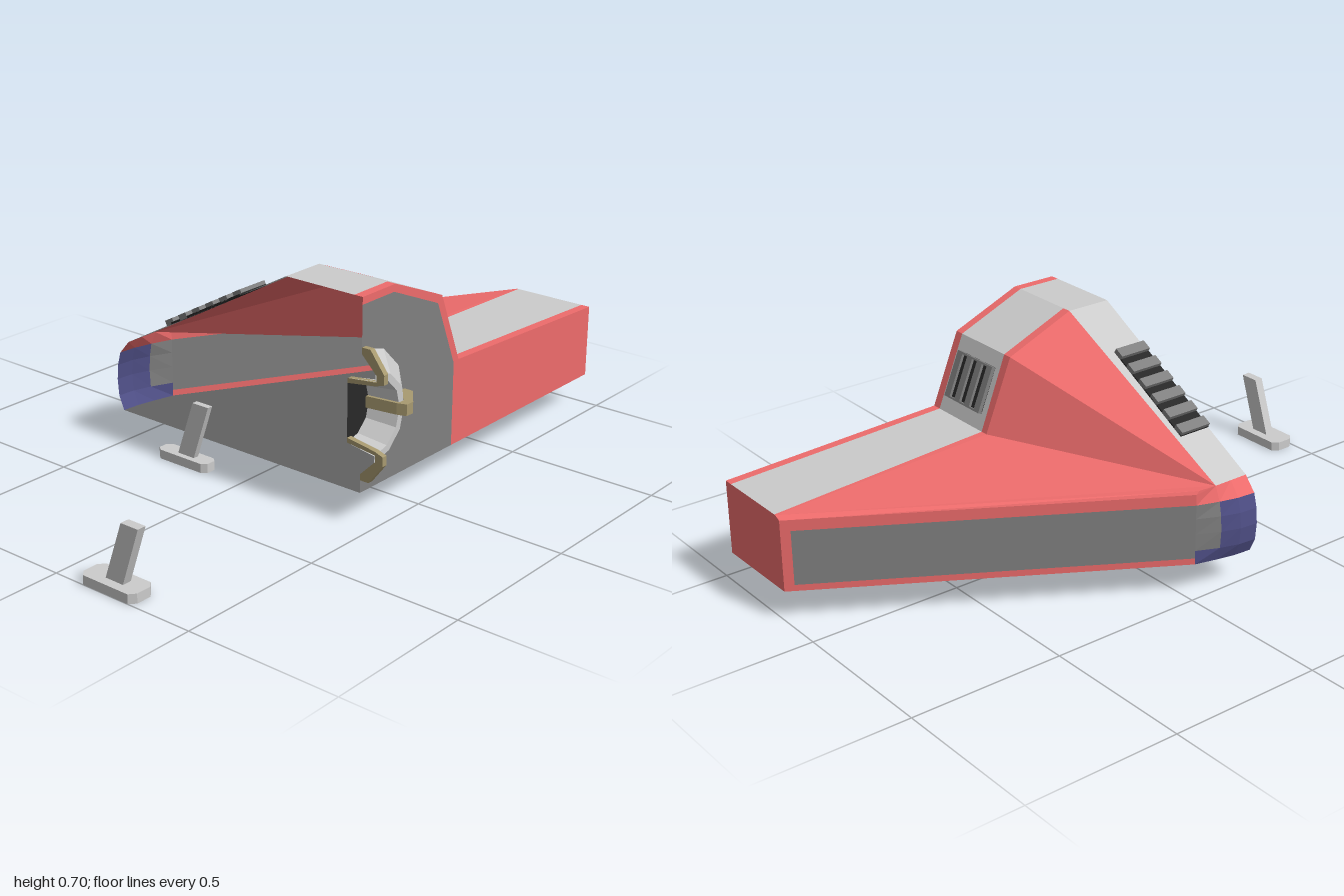
import * as THREE from 'three';

const RED = 0xee6c6c, GREY = 0xcccccc, MID = 0x808080, DARK = 0x626262, BLACK = 0x282828, BLUE = 0x505088, GOLD = 0xa89a70;

const material = (color) => new THREE.MeshStandardMaterial({ color, flatShading: true, side: THREE.DoubleSide });

function addMesh(parent, name, geometry, color) {
  const mesh = new THREE.Mesh(geometry, material(color));
  mesh.name = name;
  parent.add(mesh);
  return mesh;
}

// Thin shell made of convex polygons, each turned to face away from the hull centre
function addPanels(parent, name, color, polygons) {
  const centre = new THREE.Vector3(0.1, 0.25, 0.0);
  const out = [];
  for (const polygon of polygons) {
    const p = polygon.map((c) => new THREE.Vector3(...c));
    for (let i = 1; i < p.length - 1; i++) {
      const tri = new THREE.Triangle(p[0], p[i], p[i + 1]);
      if (tri.getArea() < 1e-7) continue;
      const outward = tri.getMidpoint(new THREE.Vector3()).sub(centre);
      const flip = tri.getNormal(new THREE.Vector3()).dot(outward) < 0;
      for (const v of flip ? [tri.a, tri.c, tri.b] : [tri.a, tri.b, tri.c]) out.push(v.x, v.y, v.z);
    }
  }
  const geometry = new THREE.BufferGeometry();
  geometry.setAttribute('position', new THREE.Float32BufferAttribute(out, 3));
  geometry.computeVertexNormals();
  return addMesh(parent, name, geometry, color);
}

const shapeOf = (points) => new THREE.Shape(points.map(([x, y]) => new THREE.Vector2(x, y)));

function buildHull(parent) {
  const apex = [-0.48, 0.34, 0.1], shoulder = [-0.475, 0.34, 0.04], corner = [-0.475, 0.33, 0.03];
  const wingTip = [0.145, 0.33, -1];

  // Cabin and wing top: rows of [left, stripe left, y, z] from the centre line to the wing tip
  const rows = [
    [0.17, 0.2, 0.7, 0.07], [0.17, 0.2, 0.605, -0.16],
    [0.17, 0.195, 0.375, -0.255], [0.165, 0.17, 0.34, -1],
  ];
  const stripe = [], trim = [];
  for (let i = 0; i < 3; i++) {
    const [l0, s0, y0, z0] = rows[i], [l1, s1, y1, z1] = rows[i + 1];
    const strip = (a0, b0, a1, b1) => [[a0, y0, z0], [b0, y0, z0], [b1, y1, z1], [a1, y1, z1]];
    trim.push(strip(l0, s0, l1, s1), strip(0.42, 0.45, 0.42, 0.45));
    stripe.push(strip(s0, 0.42, s1, 0.42));
  }
  stripe.push([[0.17, 0.7, 0.22], [0.42, 0.7, 0.22], [0.42, 0.7, 0.07], [0.17, 0.7, 0.07]]);
  trim.push([[0.42, 0.7, 0.22], [0.45, 0.7, 0.22], [0.45, 0.7, 0.07], [0.42, 0.7, 0.07]]);
  addPanels(parent, 'topStripe', GREY, stripe);
  addPanels(parent, 'topTrim', RED, trim);

  // Sloping spine and the facets that run down to the nose
  const [a, b, c, d] = rows.map(([x, , y, z]) => [x, y, z]);
  addPanels(parent, 'spine', GREY, [[[-0.48, 0.34, 0.22], [0.17, 0.7, 0.22], a, apex]]);
  addPanels(parent, 'slopeFacets', RED, [
    [apex, a, b], [apex, b, c], [apex, c, d], [apex, d, shoulder],
    [shoulder, d, wingTip, corner], [corner, shoulder, apex],
  ]);

  // Diagonal side wall with its long grey panel
  const at = (t, y) => [-0.475 + 0.62 * t, y, 0.03 - 1.03 * t];
  const wall = (t0, t1, y0, y1) => [at(t0, y0), at(t1, y0), at(t1, y1), at(t0, y1)];
  addPanels(parent, 'sideWall', RED, [wall(0, 1, 0.1, 0.12), wall(0, 1, 0.295, 0.33), wall(0.975, 1, 0.12, 0.295)]);
  addPanels(parent, 'sidePanel', MID, [wall(0, 0.975, 0.12, 0.295)]);

  // Wing end and floor
  addPanels(parent, 'wingEnd', RED, [[[0.145, 0.1, -1], wingTip, d, [0.45, 0.34, -1], [0.45, 0.1, -1]]]);
  addPanels(parent, 'floor', DARK, [[
    [0.45, 0.1, 0.22], [-0.51, 0.1, 0.22], [-0.505, 0.1, 0.16], [-0.4925, 0.1, 0.1],
    [-0.475, 0.1, 0.03], [0.145, 0.1, -1], [0.45, 0.1, -1],
  ]]);
}

// Rounded nose: plan columns [x, z, bulge] crossed with levels [y, inset]
function buildNose(parent) {
  const columns = [[-0.475, 0.03, 0], [-0.51, 0.1, 0.7], [-0.53, 0.16, 1], [-0.535, 0.22, 1]];
  const levels = [[0.1, 0.025], [0.145, 0.005], [0.2, 0], [0.25, 0.004], [0.295, 0.016]];
  const rim = [[-0.475, 0.33, 0.03], [-0.48, 0.34, 0.1], [-0.48, 0.34, 0.16], [-0.48, 0.34, 0.22]];
  const point = (i, j) => [columns[i][0] + columns[i][2] * levels[j][1], levels[j][0], columns[i][1]];
  const glass = [], cheek = [], cap = [];
  for (let i = 0; i < 3; i++) {
    for (let j = 0; j < 4; j++) {
      const list = i === 0 && j > 0 ? cheek : glass;
      list.push([point(i, j), point(i + 1, j), point(i + 1, j + 1), point(i, j + 1)]);
    }
    cap.push([point(i, 4), point(i + 1, 4), rim[i + 1], rim[i]]);
  }
  addPanels(parent, 'noseWindow', BLUE, glass);
  addPanels(parent, 'noseCheek', MID, cheek);
  addPanels(parent, 'noseCap', RED, cap);
}

// Flat tail wall at x = 0.45, drawn with u = -z
function buildTail(parent) {
  const inner = [[0.23, 0.1], [0.23, 0.37], [0.14, 0.585], [-0.075, 0.677], [-0.22, 0.677]];
  const plate = shapeOf([[-0.22, 0.1], ...inner, [-0.22, 0.535]]);
  plate.absarc(-0.22, 0.345, 0.19, Math.PI / 2, -Math.PI / 2, true);
  const border = shapeOf([
    [-0.22, 0.7], [-0.07, 0.7], [0.16, 0.605], [0.255, 0.375], [1, 0.34], [1, 0.1], ...inner,
  ]);
  for (const [name, shape, color] of [['tailPlate', plate, MID], ['tailBorder', border, RED]]) {
    const geometry = new THREE.ShapeGeometry(shape, 12).rotateY(Math.PI / 2).translate(0.45, 0, 0);
    addMesh(parent, name, geometry, color);
  }
}

function buildEngine(parent) {
  const engine = new THREE.Group();
  engine.name = 'engine';
  engine.position.set(0, 0.345, 0.22);
  parent.add(engine);
  const halfLathe = (points) => new THREE.LatheGeometry(
    points.map(([x, r]) => new THREE.Vector2(r, x)), 6, Math.PI / 2, Math.PI).rotateZ(-Math.PI / 2);
  addMesh(engine, 'engineCore', halfLathe([[0.4, 0], [0.4, 0.1]]), BLACK);
  addMesh(engine, 'nozzle', halfLathe([[0.4, 0.1], [0.5, 0.115], [0.5, 0.137], [0.45, 0.2]]), GREY);

  // Clamps around the nozzle; the two on the centre line are half width
  const clamp = shapeOf([
    [0.4, 0.085], [0.5, 0.1], [0.53, 0.11], [0.53, 0.14], [0.48, 0.205],
    [0.45, 0.205], [0.45, 0.185], [0.503, 0.132], [0.503, 0.112], [0.4, 0.1],
  ]);
  for (const [angle, z0, depth] of [[0, -0.018, 0.018], [-Math.PI / 2, -0.018, 0.036], [Math.PI, 0, 0.018]]) {
    const geometry = new THREE.ExtrudeGeometry(clamp, { depth, bevelEnabled: false }).translate(0, 0, z0);
    addMesh(engine, 'nozzleClamp', geometry, GOLD).rotation.x = angle;
  }
}

function buildVents(parent) {
  const box = (group, name, size, pos, color) =>
    addMesh(group, name, new THREE.BoxGeometry(...size), color).position.set(...pos);

  // Louvres on the spine
  const spineVent = new THREE.Group();
  spineVent.name = 'spineVent';
  spineVent.position.set(-0.155, 0.52, 0.165);
  spineVent.rotation.z = Math.atan2(0.36, 0.65);
  box(spineVent, 'ventBed', [0.355, 0.006, 0.11], [0, 0.002, 0], BLACK);
  for (let i = 0; i < 6; i++) box(spineVent, 'louvre', [0.034, 0.018, 0.11], [-0.16 + i * 0.064, 0.008, 0], MID);

  // Grille on the cabin side
  const sideVent = new THREE.Group();
  sideVent.name = 'sideVent';
  sideVent.position.set(0.31, 0.49, -0.2075);
  sideVent.rotation.x = Math.atan2(0.095, 0.23);
  box(sideVent, 'grilleBed', [0.18, 0.15, 0.006], [0, 0, -0.002], BLACK);
  for (let i = 0; i < 4; i++) box(sideVent, 'grilleBar', [0.026, 0.15, 0.014], [-0.077 + i * 0.0513, 0, -0.007], MID);
  for (const y of [-0.072, 0.072]) box(sideVent, 'grilleEdge', [0.18, 0.006, 0.014], [0, y, -0.007], MID);
  parent.add(spineVent, sideVent);
}

// Landing leg: chamfered pad with a leaning strut
function buildLeg(parent, x, z, widthScale) {
  const leg = new THREE.Group();
  leg.name = 'landingLeg';
  leg.position.set(x, 0, z);
  leg.scale.z = widthScale;
  const pad = shapeOf([
    [-0.102, -0.025], [-0.085, -0.045], [0.085, -0.045], [0.102, -0.025],
    [0.102, 0.025], [0.085, 0.045], [-0.085, 0.045], [-0.102, 0.025],
  ]);
  const padGeometry = new THREE.ExtrudeGeometry(pad, { depth: 0.03, bevelEnabled: false }).rotateX(-Math.PI / 2);
  addMesh(leg, 'footPad', padGeometry, GREY);
  const strut = shapeOf([[-0.028, 0.028], [0.038, 0.028], [0.102, 0.215], [0.038, 0.215]]);
  const strutGeometry = new THREE.ExtrudeGeometry(strut, { depth: 0.03, bevelEnabled: false }).translate(0, 0, -0.015);
  addMesh(leg, 'strut', strutGeometry, GREY);
  parent.add(leg);
}

export function createModel() {
  const model = new THREE.Group();
  model.name = 'halfShuttle';
  buildHull(model);
  buildNose(model);
  buildTail(model);
  buildEngine(model);
  buildVents(model);
  buildLeg(model, 0.192, 0.955, 1);
  buildLeg(model, 0.192, -0.5, 1);
  buildLeg(model, -0.23, 0.228, 0.65);
  return model;
}
